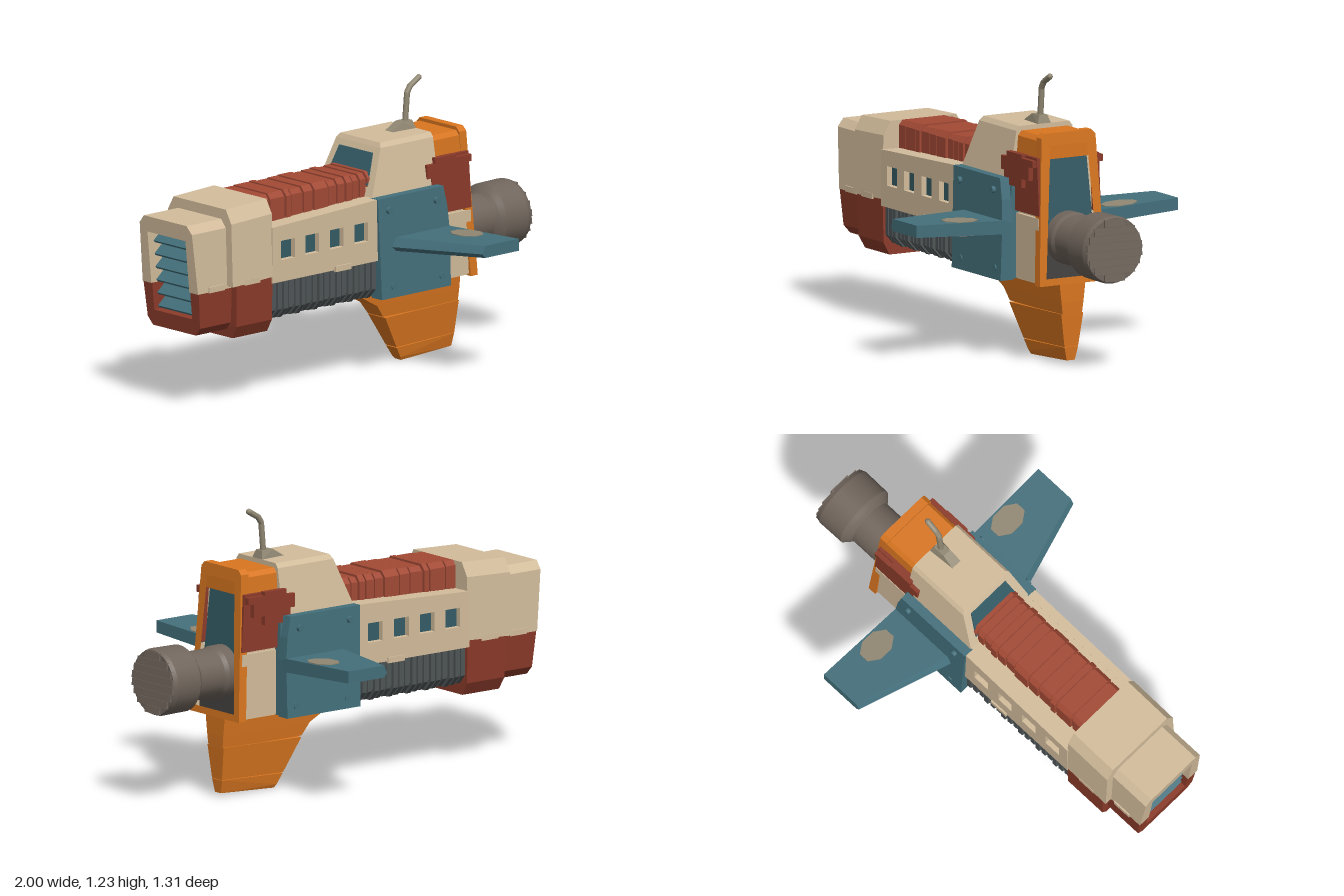
import * as THREE from 'three';
import { ConvexGeometry } from 'three/addons/geometries/ConvexGeometry.js';

const mat = (name, color) => Object.assign(new THREE.MeshStandardMaterial({ color }), { name });

export function createModel() {
  const root = new THREE.Group();
  root.name = 'spaceship';
  const M = {
    cream: mat('cream', 0xd3bd9c), rust: mat('rust', 0x8c3b2a), red: mat('brick red', 0xa34a35),
    orange: mat('orange', 0xd97620), teal: mat('teal', 0x44707c), glass: mat('glass', 0x355c66),
    grey: mat('ribbed grey', 0x4f5557), engine: mat('engine brown', 0x70655c),
    taupe: mat('taupe', 0x918873), dark: mat('charcoal', 0x43413f),
  };

  const add = (name, geo, m) => {
    const mesh = new THREE.Mesh(geo, m);
    mesh.name = name;
    root.add(mesh);
    return mesh;
  };
  // Convex block from [x, y, halfWidth] corners, mirrored across z
  const hull = (name, pts, m) => add(name, new ConvexGeometry(
    pts.flatMap(([x, y, h]) => [new THREE.Vector3(x, y, h), new THREE.Vector3(x, y, -h)])), m);
  const shapeOf = (pts, holes = []) => {
    const s = new THREE.Shape(pts.map(p => new THREE.Vector2(...p)));
    holes.forEach(h => s.holes.push(new THREE.Path(h.map(p => new THREE.Vector2(...p)))));
    return s;
  };
  const rect = (x0, y0, x1, y1) => [[x0, y0], [x1, y0], [x1, y1], [x0, y1]];
  // Side plate in xy, made on both flanks, from z to z + depth
  const sidePlate = (name, pts, z, depth, m, holes) => {
    for (const s of [1, -1]) {
      const g = new THREE.ExtrudeGeometry(shapeOf(pts, holes), { depth, bevelEnabled: false });
      g.translate(0, 0, s > 0 ? z : -z - depth);
      add(name + (s > 0 ? 'Left' : 'Right'), g, m);
    }
  };
  // Cross-section [halfWidth, y] mirrored, extruded along x and leaning with height
  const mirrored = half => half.concat(half.slice().reverse().map(([z, y]) => [-z, y]));
  const section = (name, half, x, depth, m, lean = 0, y0 = 0, hole) => {
    const shape = shapeOf(mirrored(half), hole ? [mirrored(hole)] : []);
    const g = new THREE.ExtrudeGeometry(shape, { depth, bevelEnabled: false });
    g.rotateY(Math.PI / 2).translate(x, 0, 0);
    const p = g.attributes.position;
    for (let i = 0; i < p.count; i++) p.setX(i, p.getX(i) + lean * (p.getY(i) - y0));
    g.computeVertexNormals();
    return add(name, g, m);
  };
  const box = (name, w, h, d, x, y, z, m) =>
    add(name, new THREE.BoxGeometry(w, h, d).translate(x, y, z), m);

  // Open nose with an intake grille
  section('noseUpper', [[.135, .83], [.165, .795], [.175, .53], [.12, .53], [.12, .76]], -.975, .2, M.cream, -.1, .53);
  section('noseLower', [[.12, .41], [.12, .53], [.175, .53], [.165, .375], [.135, .34]], -.97, .2, M.rust, -.1, .53);
  box('intakeBack', .01, .37, .25, -.82, .585, 0, M.dark);
  for (let i = 0; i < 6; i++) {
    const slat = box('intakeSlat', .06, .012, .24, 0, 0, 0, M.teal);
    slat.position.set(-.91 - i * .005, .44 + i * .058, 0);
    slat.rotation.z = .7;
  }

  // Collar behind the nose
  const collar = [[.165, .88], [.2, .82], [.21, .545]];
  hull('collarUpper', collar.flatMap(([h, y]) => [[-.805, y - .005, h], [-.57, y + .005, h]]), M.cream);
  hull('collarLower', [[-.78, .55, .205], [-.57, .55, .205], [-.775, .36, .2], [-.57, .36, .2],
    [-.77, .305, .17], [-.57, .305, .17]], M.rust);
  for (const [x, y, z] of [[-.87, .54, .175], [-.69, .55, .205], [-.17, .525, .212]])
    for (const s of [1, -1]) box('latch', .09, .025, .012, x, y, s * z, M.cream);

  // Ribbed upper spine
  section('spineCore', [[.1, .875], [.115, .86], [.115, .7]], -.58, .68, M.red);
  const ribs = [.06, .09, .035, .07, .06, .085, .05, .05, .04, .04, .04, .04];
  let rx = -.57;
  ribs.forEach((w, i) => {
    const e = (i % 3) * .003;
    section('spineRib', [[.105, .885 + e], [.122 + e, .865], [.122 + e, .74]], rx, w - .009, M.red);
    rx += w;
  });

  // Ribbed lower belly
  section('bellyCore', [[.185, .56], [.185, .4], [.15, .365], [.0, .365]], -.58, .64, M.grey);
  for (let i = 0; i < 18; i++) {
    const e = (i % 3) * .003;
    section('bellyRib', [[.193 + e, .54], [.193 + e, .395], [.158, .356 - e], [0, .356 - e]],
      -.565 + i * .034, .022, M.grey);
  }

  // Flank panels with recessed windows
  const windows = [-.485, -.345, -.203, -.06].map(x => rect(x - .04, .615, x + .04, .70));
  sidePlate('flankPanel', [[-.575, .52], [.06, .52], [.06, .79], [-.575, .765]], .17, .04, M.cream, windows);
  sidePlate('windowPane', rect(-.55, .6, .02, .715), .178, .006, M.glass);
  hull('flankDeck', [[-.575, .764, .19], [.06, .789, .19], [-.575, .55, .19 - .02], [.06, .55, .17]], M.cream);

  // Cabin with a sloping windshield
  hull('cabin', [[.035, .79, .175], [.115, .99, .14], [.125, 1.01, .125], [.42, 1.01, .125],
    [.42, .99, .14], [.42, .79, .175]], M.cream);
  hull('windshield', [[.047, .835, .13], [.100, .965, .105], [.06, .835, .13], [.113, .965, .105]], M.glass);

  // Middle hull and bolted wing mounts
  hull('midHull', [[.04, .79, .18], [.43, .79, .17], [.04, .355, .19], [.44, .355, .19]], M.teal);
  for (const s of [1, -1]) {
    const side = s > 0 ? 'Left' : 'Right';
    const mount = [[.03, .79], [.41, .79], [.43, .7], [.44, .6], [.44, .35], [.04, .35]];
    add('wingMount' + side, new ConvexGeometry(mount.flatMap(([x, y]) => [
      new THREE.Vector3(x, y, s * .17),
      new THREE.Vector3(x, y, s * (.232 - (y - .35) * .035))])), M.teal);
    for (const [x, y] of [[.09, .735], [.365, .735], [.11, .4], [.39, .4]])
      add('bolt' + side, new THREE.CylinderGeometry(.015, .015, .02, 10)
        .rotateX(Math.PI / 2).translate(x, y, s * .225), M.teal);
    // Swept wing
    const wing = [[.1, .57, .2], [.12, .61, .2], [.44, .61, .2], [.44, .55, .2], [.12, .55, .2],
      [.235, .595, .655], [.25, .63, .655], [.445, .63, .655], [.445, .577, .655], [.25, .577, .655]];
    add('wing' + side, new ConvexGeometry(wing.map(([x, y, z]) => new THREE.Vector3(x, y, s * z))), M.teal);
    // Worn patches on the top and underside of the wing
    for (const [y, t] of [[.619, .044], [.562, .059]]) {
      const patch = add('wingPatch' + side, new THREE.CylinderGeometry(1, 1, .006, 8), M.taupe);
      patch.geometry.rotateY(Math.PI / 8).scale(.06, 1, .087);
      patch.position.set(.378, y, s * .4);
      patch.rotation.x = -s * t;
    }
  }

  // Tail block and its side panels
  hull('tailCore', [[.42, .93, .125], [.58, .93, .125], [.42, .355, .15], [.61, .355, .15]], M.cream);
  hull('tailCap', [[.42, .99, .115], [.605, .99, .115], [.42, .97, .132], [.605, .97, .132],
    [.42, .89, .138], [.605, .89, .138]], M.orange);
  sidePlate('tailLowerPanel', [[.44, .36], [.64, .36], [.625, .64], [.44, .64]], .14, .015, M.cream);
  sidePlate('tailUpperPanel', [[.43, .65], [.63, .65], [.612, .9], [.43, .9]], .13, .025, M.rust);
  sidePlate('tailPatch', [[.355, .82], [.38, .82], [.38, .79], [.42, .79], [.42, .76], [.52, .76], [.52, .8],
    [.58, .8], [.58, .86], [.61, .86], [.61, .89], [.52, .89], [.52, .905], [.4, .905], [.4, .88], [.355, .88]],
    .15, .027, M.rust);

  // Rear frame and panes
  section('rearFrame', [[.115, 1.005], [.135, .985], [.167, .35]], .615, .04, M.orange, -.06, .35,
    [[.092, .95], [.132, .38]]);
  section('rearWindow', [[.1, .96], [.128, .55]], .612, .014, M.glass, -.06, .35);
  section('rearLowerPane', [[.128, .55], [.14, .37]], .612, .014, M.dark, -.06, .35);

  // Engine bell
  const profile = [[0, .60], [.115, .60], [.115, .66], [.107, .68], [.107, .81], [.125, .825], [.145, .845],
    [.147, .97], [.14, .99], [0, .99]];
  const bell = [];
  for (let i = 0; i < profile.length - 1; i++) {
    bell.push(new THREE.LatheGeometry(profile.slice(i, i + 2).map(p => new THREE.Vector2(...p)), 32)
      .rotateZ(-Math.PI / 2).translate(0, .545, 0));
  }
  bell.forEach(g => add('engineBell', g, M.engine));
  for (let i = 0; i < 8; i++) {
    const y = (i - 3.5) * .034;
    const slat = box('engineSlat', .012, .031, 2 * Math.sqrt(.14 ** 2 - (Math.abs(y) + .012) ** 2), 0, 0, 0, M.engine);
    slat.position.set(.991, .545 + y, 0);
    slat.rotation.z = .12;
  }

  // Keel fin in stepped sections
  hull('keelRoot', [[.02, .355, .065], [.65, .355, .065], [.175, .27, .055], [.65, .27, .055]], M.orange);
  hull('keelMiddle', [[.175, .27, .055], [.65, .27, .055], [.215, .215, .048], [.648, .215, .048]], M.orange);
  hull('keelLower', [[.222, .21, .055], [.648, .22, .055], [.305, .065, .034], [.64, .075, .034]], M.orange);
  hull('keelTip', [[.307, .061, .034], [.64, .073, .034], [.335, .015, .027], [.345, 0, .02],
    [.635, .015, .02]], M.orange);

  // Bent antenna on its base
  hull('antennaBase', [[.29, 1.008, .025], [.42, 1.008, .034], [.35, 1.045, .02], [.41, 1.045, .02]], M.taupe);
  const path = new THREE.CurvePath();
  const v = [[.385, 1.02], [.398, 1.165], [.415, 1.19], [.465, 1.22]].map(([x, y]) => new THREE.Vector3(x, y, 0));
  for (let i = 0; i < 3; i++) path.add(new THREE.LineCurve3(v[i], v[i + 1]));
  add('antennaMast', new THREE.TubeGeometry(path, 24, .013, 10), M.taupe);
  add('antennaTip', new THREE.SphereGeometry(.013, 10, 8).translate(.465, 1.22, 0), M.taupe);

  return root;
}
